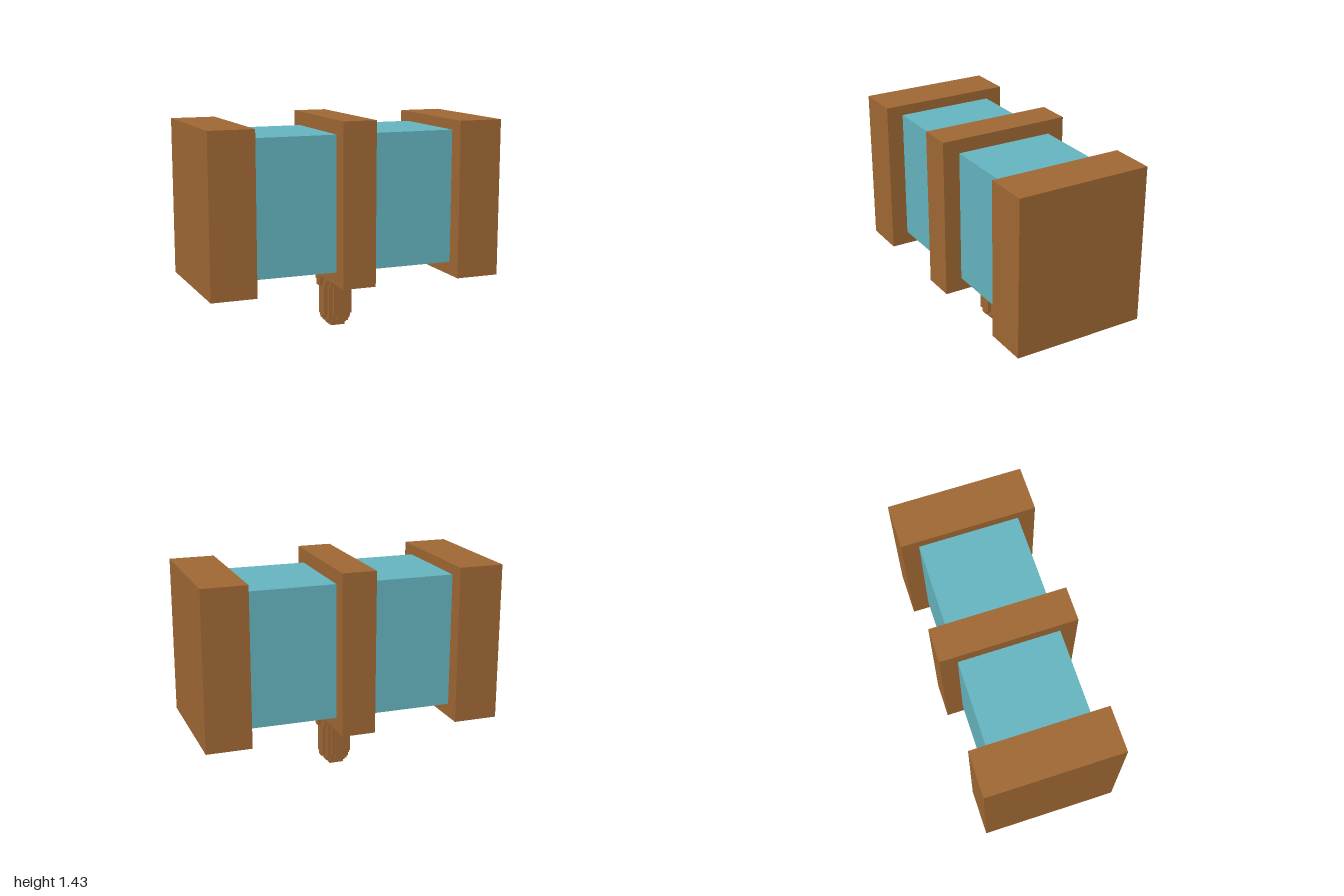
import * as THREE from 'three';
import { mergeGeometries } from 'three/addons/utils/BufferGeometryUtils.js';

const CELL = 0.025;

// Stepped (blocky) disc outline of the given radius, extruded upward from y to y + height
function steppedDisc(radius, y, height) {
  const rows = Math.round(radius / CELL);
  const right = [];
  for (let j = -rows; j < rows; j++) {
    const mid = (j + 0.5) * CELL;
    const half = Math.max(1, Math.round(Math.sqrt(Math.max(0, radius * radius - mid * mid)) / CELL)) * CELL;
    right.push([half, j * CELL], [half, (j + 1) * CELL]);
  }
  const left = right.map(([x, z]) => [-x, z]).reverse();
  const shape = new THREE.Shape([...right, ...left].map(([x, z]) => new THREE.Vector2(x, z)));
  const geometry = new THREE.ExtrudeGeometry(shape, { depth: height, bevelEnabled: false });
  return geometry.rotateX(-Math.PI / 2).translate(0, y, 0);
}

export function createModel() {
  const model = new THREE.Group();
  const wood = new THREE.MeshStandardMaterial({ color: 0xa06834 });
  wood.name = 'brown wood';
  const teal = new THREE.MeshStandardMaterial({ color: 0x65b5c0 });
  teal.name = 'teal';

  function block(name, material, x0, x1, y0, y1, halfDepth) {
    const mesh = new THREE.Mesh(new THREE.BoxGeometry(x1 - x0, y1 - y0, halfDepth * 2), material);
    mesh.position.set((x0 + x1) / 2, (y0 + y1) / 2, 0);
    mesh.name = name;
    model.add(mesh);
  }

  // Head: core, two end caps and the band round the middle
  block('headCore', teal, -0.71, 0.71, 0.44, 1.335, 0.333);
  block('rightEndCap', wood, -1, -0.7, 0.35, 1.403, 0.447);
  block('leftEndCap', wood, 0.7, 1, 0.35, 1.403, 0.447);
  block('middleBand', wood, -0.125, 0.102, 0.35, 1.428, 0.447);

  // Handle stub: stepped layers that narrow to a rounded tip; [bottom, radius]
  const layers = [[0, 0.055], [0.025, 0.078], [0.05, 0.092], [0.075, 0.1],
    [0.17, 0.106], [0.28, 0.117], [0.32, 0.125]];
  const parts = layers.map(([y, r], i) => {
    const top = i + 1 < layers.length ? layers[i + 1][0] : 0.45;
    return steppedDisc(r, y, top - y);
  });
  const handle = new THREE.Mesh(mergeGeometries(parts), wood);
  handle.name = 'handleStub';
  model.add(handle);

  return model;
}
